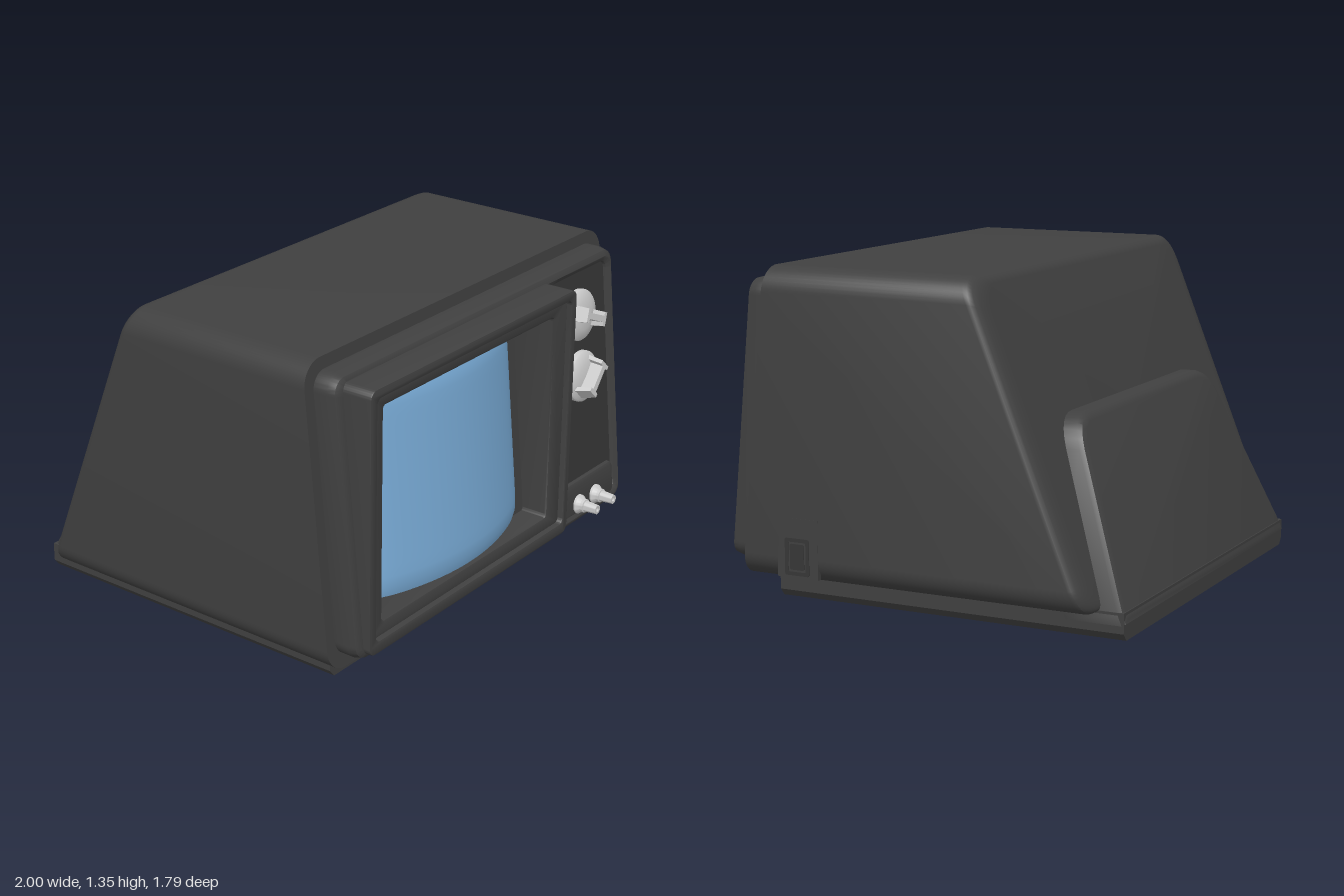
import * as THREE from 'three';
import { toCreasedNormals } from 'three/addons/utils/BufferGeometryUtils.js';

const SLOPE = 0.096; // backward lean of the whole front
const frontZ = (y) => 0.72 - SLOPE * y;
const dark = new THREE.MeshStandardMaterial({ color: 0x404040 });
const darker = new THREE.MeshStandardMaterial({ color: 0x363636 });
const glass = new THREE.MeshStandardMaterial({ color: 0x78aad5 });
const grey = new THREE.MeshStandardMaterial({ color: 0xcccccc });

function roundRect(x0, x1, y0, y1, r, Type = THREE.Shape) {
  const s = new Type(), h = Math.PI / 2;
  s.absarc(x1 - r, y0 + r, r, -h, 0);
  s.absarc(x1 - r, y1 - r, r, 0, h);
  s.absarc(x0 + r, y1 - r, r, h, 2 * h);
  s.absarc(x0 + r, y0 + r, r, 2 * h, 3 * h);
  return s;
}

// Extrude from z0 to z1 with the bevel kept inside the outline
function extrude(shape, z0, z1, size = 0, thick = size) {
  const g = new THREE.ExtrudeGeometry(shape, {
    depth: z1 - z0 - 2 * thick, bevelEnabled: size > 0, bevelSize: size, bevelOffset: -size,
    bevelThickness: thick, bevelSegments: 2, curveSegments: 6,
  });
  return g.translate(0, 0, z0 + thick);
}

// Shift every vertex in z by a rule of its height
function lean(g, rule = frontZ) {
  const p = g.attributes.position;
  for (let i = 0; i < p.count; i++) p.setZ(i, p.getZ(i) + rule(p.getY(i)));
  return g;
}

// Closed skin through rounded sections ordered front to back
function loft(sections) {
  const pos = [], idx = [];
  let n = 0;
  for (const { ix, iy, z } of sections) {
    const pts = roundRect(-1 + ix, 1 - ix, 0.1 + iy, 1.345 - iy, 0.1).getPoints(5);
    n = pts.length;
    for (const p of pts) pos.push(p.x, p.y, z(p.y));
  }
  const last = (sections.length - 1) * n;
  for (const { z } of [sections[0], sections[sections.length - 1]]) pos.push(0, 0.72, z(0.72));
  const c = last + n;
  for (let j = 0; j < n; j++) {
    const k = (j + 1) % n;
    for (let i = 0; i < last; i += n) idx.push(i + j, i + n + j, i + k, i + k, i + n + j, i + n + k);
    idx.push(c, j, k, c + 1, last + k, last + j);
  }
  const g = new THREE.BufferGeometry();
  g.setAttribute('position', new THREE.Float32BufferAttribute(pos, 3));
  g.setIndex(idx);
  return g;
}

export function createModel() {
  const model = new THREE.Group();
  const add = (name, geo, mat = dark, parent = model) => {
    const m = new THREE.Mesh(toCreasedNormals(geo, 0.6), mat);
    m.name = name;
    parent.add(m);
    return m;
  };

  // Cabinet: leaning front, sloped back with a rounded rear edge
  const sections = [{ ix: 0, iy: 0, z: frontZ }];
  for (let i = 0; i <= 5; i++) {
    const a = (i / 5) * Math.PI / 2;
    sections.push({
      ix: 0.1 * (1 - Math.cos(a)), iy: 0.035 * (1 - Math.cos(a)),
      z: (y) => -0.795 + 0.4 * y - 0.05 * Math.sin(a),
    });
  }
  add('cabinet', loft(sections));

  // Base plate with chamfered lower sides
  const base = new THREE.Shape();
  [[-0.85, 0], [0.85, 0], [0.875, 0.03], [0.875, 0.11], [-0.875, 0.11], [-0.875, 0.03]]
    .forEach(([x, y], i) => (i ? base.lineTo(x, y) : base.moveTo(x, y)));
  add('base', extrude(base, -0.89, 0.615));

  // Rear hump: trapezoid with rounded top corners
  const hump = new THREE.Shape();
  hump.moveTo(-0.875, 0.06);
  hump.lineTo(0.875, 0.06);
  hump.lineTo(0.875, 0.1);
  hump.lineTo(0.71, 0.68);
  hump.quadraticCurveTo(0.67, 0.8, 0.56, 0.8);
  hump.lineTo(-0.56, 0.8);
  hump.quadraticCurveTo(-0.67, 0.8, -0.71, 0.68);
  hump.lineTo(-0.875, 0.1);
  add('rearHump', lean(extrude(hump, 0, 0.28, 0.025), (y) => -0.93 + 0.405 * y));

  // Front bezel with openings for the screen and the controls
  const bezel = roundRect(-0.95, 0.95, 0.155, 1.295, 0.07);
  bezel.holes.push(roundRect(-0.84, 0.39, 0.25, 1.21, 0.03, THREE.Path));
  bezel.holes.push(roundRect(0.485, 0.89, 0.215, 1.235, 0.03, THREE.Path));
  add('frontBezel', lean(extrude(bezel, -0.06, 0.105, 0.03, 0.045)));

  // Screen surround: upright outer rim and a stepped inner rim
  const rim = (o, h, z, r, bevel) => {
    const s = roundRect(...o, r);
    s.holes.push(roundRect(...h, r * 0.7, THREE.Path));
    return extrude(s, 0.6, z, bevel);
  };
  add('screenRim', rim([-0.91, 0.455, 0.18, 1.27], [-0.87, 0.42, 0.23, 1.23], 0.835, 0.035, 0.006));
  add('screenInnerRim', rim([-0.88, 0.43, 0.22, 1.24], [-0.80, 0.33, 0.285, 1.175], 0.81, 0.02, 0.012));

  // Curved screen bulging sideways
  const scr = new THREE.BoxGeometry(0.97, 0.86, 0.06, 32, 20, 1);
  const sp = scr.attributes.position;
  for (let i = 0; i < sp.count; i++) {
    if (sp.getZ(i) < 0) continue;
    const u = sp.getX(i) / 0.485, v = sp.getY(i) / 0.43;
    sp.setZ(i, 0.03 + 0.105 * (1 - u * u) - 0.02 * (u ** 16 + v ** 16));
  }
  add('screen', lean(scr.translate(-0.225, 0.73, 0)), glass);

  // Control panel floor and the raised strip for the jacks
  add('controlPanel', lean(new THREE.BoxGeometry(0.45, 1.06, 0.08).translate(0.69, 0.725, 0.04)), darker);
  add('jackStrip', lean(extrude(roundRect(0.485, 0.89, 0.19, 0.34, 0.03), 0.05, 0.097, 0.012)));

  const lathe = (pts) => new THREE.LatheGeometry(pts.map(([r, h]) => new THREE.Vector2(r, h)), 32)
    .rotateX(Math.PI / 2);

  // Two rotary knobs with waisted grips
  for (const [name, y, turn] of [['upperKnob', 1.06, -0.4], ['lowerKnob', 0.79, 0.78]]) {
    const knob = new THREE.Group();
    knob.name = name;
    knob.position.set(0.68, y, frontZ(y) + 0.08);
    knob.rotation.x = -SLOPE;
    add('knobDisc', lathe([[0.11, -0.02], [0.11, 0.02], [0.104, 0.027], [0.06, 0.04], [0, 0.044]]), grey, knob);
    const grip = new THREE.Shape();
    grip.moveTo(-0.09, -0.036);
    for (const [x, gy] of [[-0.07, -0.036], [-0.066, -0.016], [0.066, -0.016], [0.07, -0.036], [0.09, -0.036],
      [0.09, 0.036], [0.07, 0.036], [0.066, 0.016], [-0.066, 0.016], [-0.07, 0.036], [-0.09, 0.036]]) grip.lineTo(x, gy);
    const g = extrude(grip, 0.01, 0.1);
    const gp = g.attributes.position;
    for (let i = 0; i < gp.count; i++) { // taper toward the tip
      const s = 1 - 2 * (gp.getZ(i) - 0.01);
      gp.setXY(i, gp.getX(i) * s, gp.getY(i) * s);
    }
    add('knobGrip', g.rotateZ(turn), grey, knob);
    model.add(knob);
  }

  // Two jacks below the knobs
  for (const x of [0.61, 0.738]) {
    const jack = add('jack', lathe([[0.042, -0.02], [0.042, 0.012], [0.03, 0.028], [0.03, 0.04], [0.024, 0.042],
      [0.02, 0.1], [0.01, 0.1], [0.01, 0.06], [0, 0.06]]), grey);
    jack.position.set(x, 0.235, 0.79);
  }

  // Power switch on the left side: shallow plate, frame and rocker
  const side = (name, shape, x, mat) => add(name, extrude(shape, 0, 0.02).rotateY(Math.PI / 2).translate(x - 0.02, 0, 0), mat);
  const plate = new THREE.Shape(); // drawn with x as -z
  plate.moveTo(-0.545, 0.2);
  plate.lineTo(-0.53, 0.32);
  plate.quadraticCurveTo(-0.52, 0.36, -0.48, 0.36);
  plate.lineTo(-0.36, 0.36);
  plate.lineTo(-0.36, 0.12);
  plate.lineTo(-0.545, 0.12);
  side('switchPlate', plate, 1.001, dark);
  const frame = roundRect(-0.51, -0.4, 0.13, 0.28, 0.008);
  frame.holes.push(roundRect(-0.495, -0.415, 0.145, 0.265, 0.006, THREE.Path));
  side('switchFrame', frame, 1.004, darker);
  side('switchRocker', roundRect(-0.487, -0.423, 0.153, 0.257, 0.006), 1.004, darker);

  return model;
}
